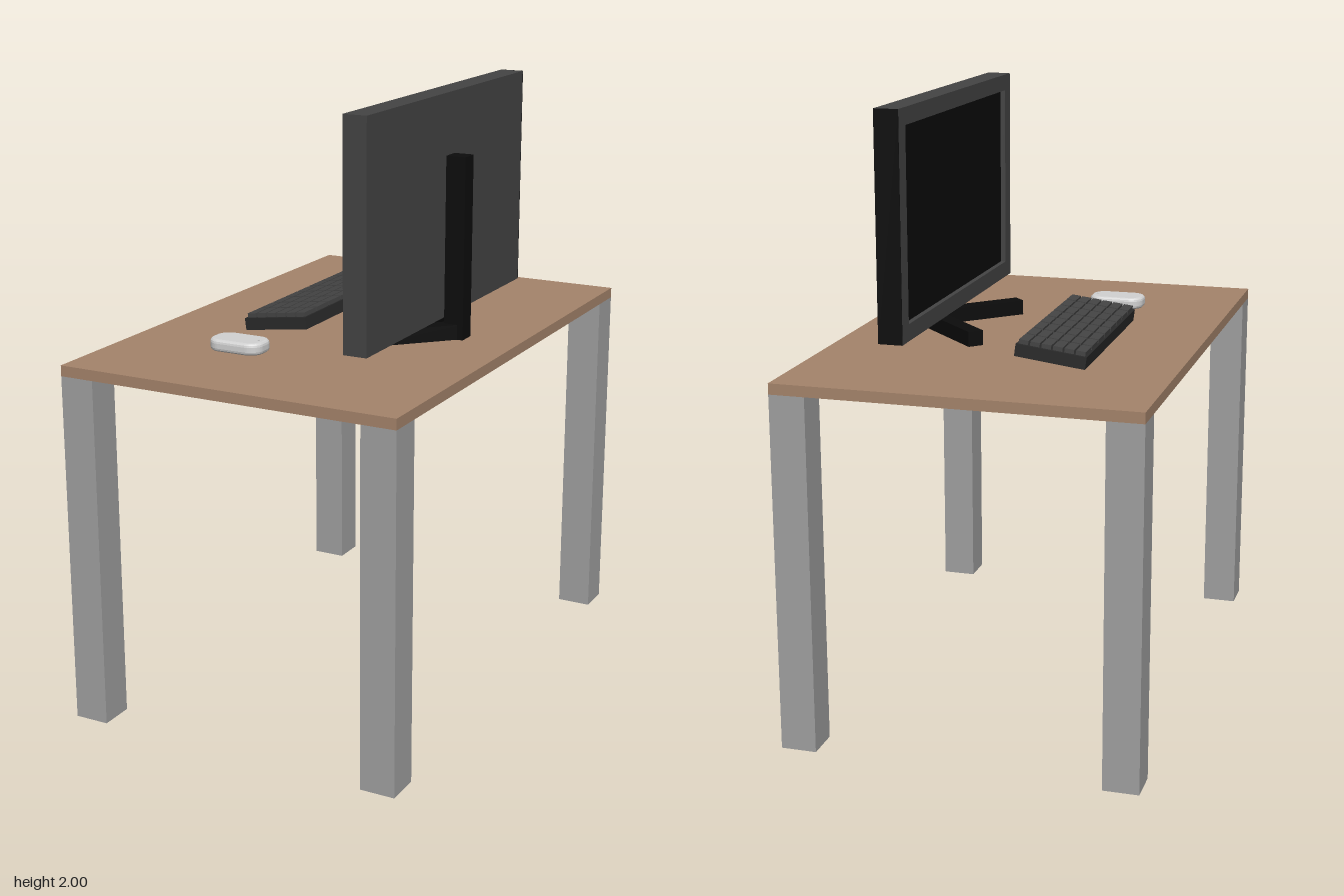
import * as THREE from 'three';

const mat = (name, color) => {
  const m = new THREE.MeshStandardMaterial({ color });
  m.name = name;
  return m;
};

export function createModel() {
  const wood = mat('wood', 0xa5846b);
  const metal = mat('legGrey', 0xa0a0a0);
  const darkGrey = mat('darkGrey', 0x444444);
  const base = mat('keyboardBase', 0x2a2a2a);
  const black = mat('black', 0x0c0c0c);
  const light = mat('mouseGrey', 0xd2d2d2);

  const model = new THREE.Group();
  model.name = 'computerDesk';

  // Box given by its limits on each axis
  const box = (name, m, x0, x1, y0, y1, z0, z1, parent = model) => {
    const mesh = new THREE.Mesh(new THREE.BoxGeometry(x1 - x0, y1 - y0, z1 - z0), m);
    mesh.position.set((x0 + x1) / 2, (y0 + y1) / 2, (z0 + z1) / 2);
    mesh.name = name;
    parent.add(mesh);
    return mesh;
  };

  // Table
  box('tableTop', wood, -0.582, 0.582, 1.165, 1.2, -0.873, 0.873);
  for (const sx of [-1, 1]) {
    for (const sz of [-1, 1]) {
      const leg = box('tableLeg', metal, -0.058, 0.058, 0, 1.165, -0.058, 0.058);
      leg.position.x = sx * 0.524;
      leg.position.z = sz * 0.815;
    }
  }

  // Monitor: back shell, bezel with opening, recessed screen
  const monitor = new THREE.Group();
  monitor.name = 'monitor';
  model.add(monitor);
  box('monitorShell', darkGrey, 0.275, 0.335, 1.27, 2, -0.582, 0.582, monitor);
  const rect = (C, w, h) => new C([
    new THREE.Vector2(-w, -h), new THREE.Vector2(w, -h),
    new THREE.Vector2(w, h), new THREE.Vector2(-w, h),
  ]);
  const bezelShape = rect(THREE.Shape, 0.582, 0.365);
  bezelShape.holes.push(rect(THREE.Path, 0.522, 0.31));
  const bezel = new THREE.Mesh(
    new THREE.ExtrudeGeometry(bezelShape, { depth: 0.02, bevelEnabled: false }), darkGrey);
  bezel.name = 'bezel';
  bezel.rotation.y = -Math.PI / 2;
  bezel.position.set(0.275, 1.635, 0);
  monitor.add(bezel);
  box('screen', black, 0.272, 0.275, 1.325, 1.945, -0.522, 0.522, monitor);
  box('endPanel', black, 0.255, 0.335, 1.27, 2, -0.584, -0.582, monitor);

  // Stand: column and two splayed feet
  const stand = new THREE.Group();
  stand.name = 'stand';
  model.add(stand);
  box('standColumn', black, 0.335, 0.402, 1.2, 1.8, -0.031, 0.031, stand);
  for (const s of [-1, 1]) {
    const foot = box('standFoot', black, -0.18, 0.18, 1.2, 1.25, -0.026, 0.026, stand);
    foot.position.x = 0.25;
    foot.position.z = s * 0.126;
    foot.rotation.y = s * Math.PI / 4;
  }

  // Keyboard: sloped base with a grid of keys
  const keyboard = new THREE.Group();
  keyboard.name = 'keyboard';
  keyboard.position.set(-0.182, 1.242, -0.108);
  keyboard.rotation.set(0, 0.012, 0.13);
  model.add(keyboard);
  box('keyboardBase', base, -0.115, 0.115, -0.027, 0.013, -0.351, 0.351, keyboard);
  const rows = 6, cols = 8, dx = 0.222 / rows, dz = 0.692 / cols;
  for (let r = 0; r < rows; r++) {
    for (let c = 0; c < cols; c++) {
      const key = box('key', darkGrey, -dx / 2 + 0.003, dx / 2 - 0.003, 0.013, 0.027,
        -dz / 2 + 0.005, dz / 2 - 0.005, keyboard);
      key.position.x = (r - (rows - 1) / 2) * dx;
      key.position.z = (c - (cols - 1) / 2) * dz;
    }
  }

  // Mouse: rounded slab with softened edges
  const w = 0.083, h = 0.046, rad = 0.034;
  const outline = new THREE.Shape();
  outline.absarc(w - rad, h - rad, rad, 0, Math.PI / 2);
  outline.absarc(rad - w, h - rad, rad, Math.PI / 2, Math.PI);
  outline.absarc(rad - w, rad - h, rad, Math.PI, Math.PI * 1.5);
  outline.absarc(w - rad, rad - h, rad, Math.PI * 1.5, Math.PI * 2);
  const mouse = new THREE.Mesh(new THREE.ExtrudeGeometry(outline, {
    depth: 0.016, bevelThickness: 0.012, bevelSize: 0.012, bevelSegments: 3, curveSegments: 6,
  }), light);
  mouse.name = 'mouse';
  mouse.rotation.x = -Math.PI / 2;
  mouse.position.set(-0.181, 1.212, 0.463);
  model.add(mouse);
  const wheel = new THREE.Mesh(new THREE.CylinderGeometry(0.008, 0.008, 0.008, 12), light);
  wheel.name = 'mouseWheel';
  wheel.rotation.x = Math.PI / 2;
  wheel.position.set(-0.108, 1.235, 0.463);
  model.add(wheel);

  return model;
}
